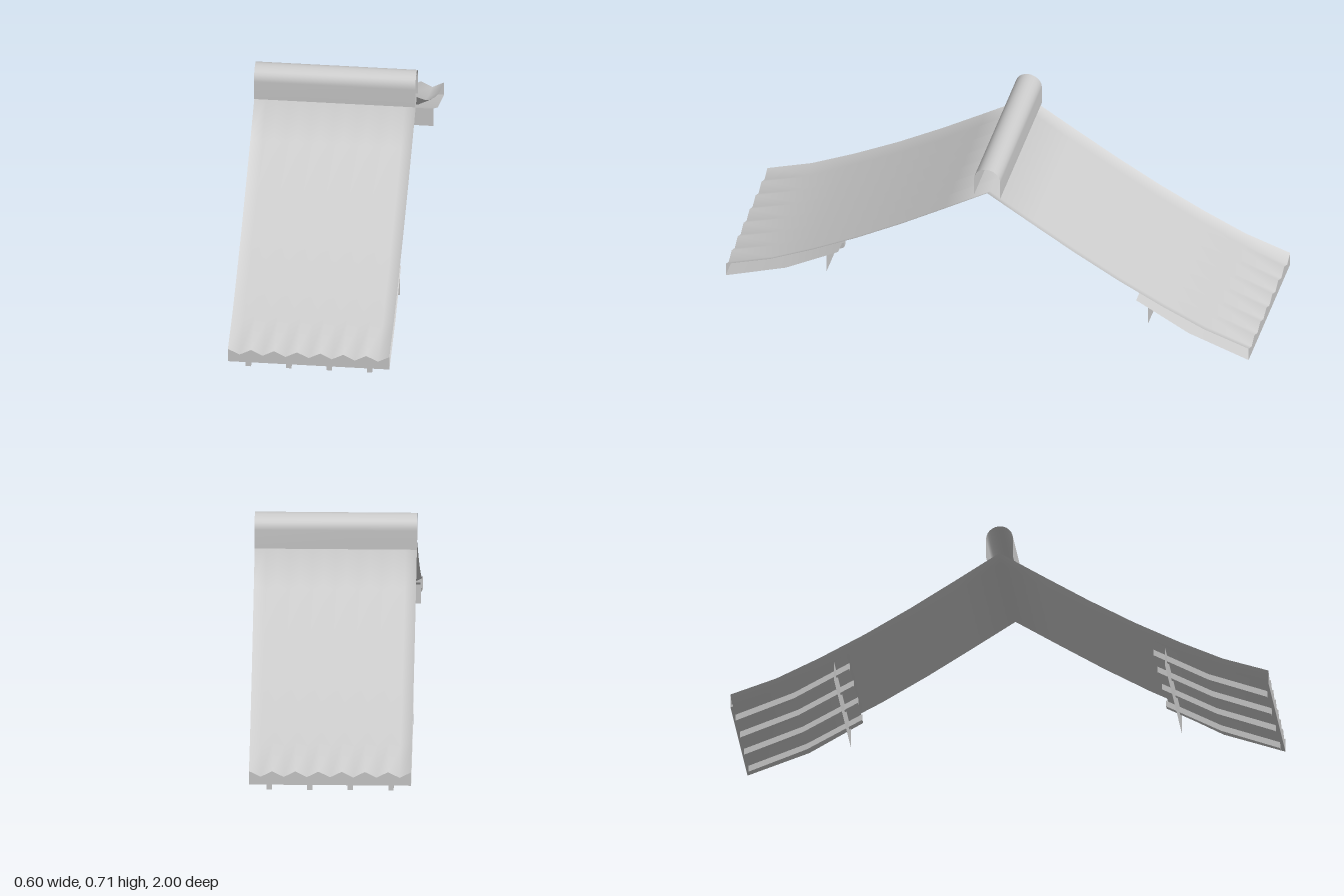
import * as THREE from 'three';

const WIDTH = 0.6, WAVES = 7, WAVE_HEIGHT = 0.011;
const grey = new THREE.MeshStandardMaterial({ color: 0xcccccc, side: THREE.DoubleSide });

function part(name, geometry) {
  const mesh = new THREE.Mesh(geometry, grey);
  mesh.name = name;
  return mesh;
}

// Height of the corrugation at column i (peaks on even columns)
const wave = (i) => (i % 2 ? -WAVE_HEIGHT : WAVE_HEIGHT);

// Thin sheet: a [z, y] profile swept across the width, with optional lift per column
function sheet(profile, columns = 1, lift = () => 0) {
  const pos = [], index = [], n = profile.length;
  for (let i = 0; i <= columns; i++) {
    const x = (i / columns - 0.5) * WIDTH;
    for (const [z, y] of profile) pos.push(x, y + lift(i), z);
  }
  for (let i = 0; i < columns; i++) {
    for (let j = 0; j < n - 1; j++) {
      const a = i * n + j, b = a + n;
      index.push(a, a + 1, b, b, a + 1, b + 1);
    }
  }
  const g = new THREE.BufferGeometry();
  g.setAttribute('position', new THREE.Float32BufferAttribute(pos, 3));
  g.setIndex(index);
  g.computeVertexNormals();
  return g;
}

// Soffit line under the eave, from the fascia inwards
const soffitLine = [[1, 0.024], [0.77, 0.105], [0.57, 0.218]];

function rafterGeometry() {
  const depth = 0.023, width = 0.02;
  const top = [[0.988, 0.024], [0.77, 0.104], [0.565, 0.214]];
  const bottom = top.map(([z, y]) => [z, y - depth]).reverse();
  bottom[2][1] = 0;
  const shape = new THREE.Shape([...top, ...bottom].map(([z, y]) => new THREE.Vector2(z, y)));
  const g = new THREE.ExtrudeGeometry(shape, { depth: width, bevelEnabled: false });
  g.translate(0, 0, -width / 2);
  return g.rotateY(-Math.PI / 2);
}

// Board closing the eave, its top edge following the corrugation
function fasciaGeometry() {
  const pts = [new THREE.Vector2(-WIDTH / 2, 0.024), new THREE.Vector2(WIDTH / 2, 0.024)];
  for (let i = WAVES * 2; i >= 0; i--) {
    pts.push(new THREE.Vector2((i / (WAVES * 2) - 0.5) * WIDTH, 0.066 + wave(i)));
  }
  return new THREE.ShapeGeometry(new THREE.Shape(pts)).translate(0, 0, 1);
}

function createEave() {
  const eave = new THREE.Group();
  eave.add(part('fascia', fasciaGeometry()));
  eave.add(part('soffit', sheet([...soffitLine].reverse())));
  eave.add(part('wallStrip', sheet([[0.615, 0.192], [0.615, 0.117]])));
  const rafter = rafterGeometry();
  for (let i = 0; i < 4; i++) {
    const mesh = part('rafter', rafter);
    mesh.position.x = -0.225 + i * 0.15;
    eave.add(mesh);
  }
  return eave;
}

export function createModel() {
  const model = new THREE.Group();
  model.name = 'roofSection';

  // Corrugated roof: both curved slopes meeting at the ridge
  const slope = [[1, 0.066], [0.83, 0.123], [0.67, 0.198], [0.5, 0.287], [0.33, 0.386], [0.17, 0.486]];
  const roofLine = [...slope.map(([z, y]) => [-z, y]), [0, 0.594], ...[...slope].reverse()];
  model.add(part('corrugatedRoof', sheet(roofLine, WAVES * 2, wave)));

  // Ridge cap: open inverted U
  const cap = [[-0.05, 0.59]];
  for (let i = 0; i <= 12; i++) {
    const a = (i / 12) * Math.PI;
    cap.push([-0.05 * Math.cos(a), 0.664 + 0.05 * Math.sin(a)]);
  }
  cap.push([0.05, 0.59]);
  model.add(part('ridgeCap', sheet(cap)));

  // Matching eaves front and back
  const front = createEave();
  front.name = 'frontEave';
  const back = createEave();
  back.name = 'backEave';
  back.rotation.y = Math.PI;
  model.add(front, back);
  return model;
}
